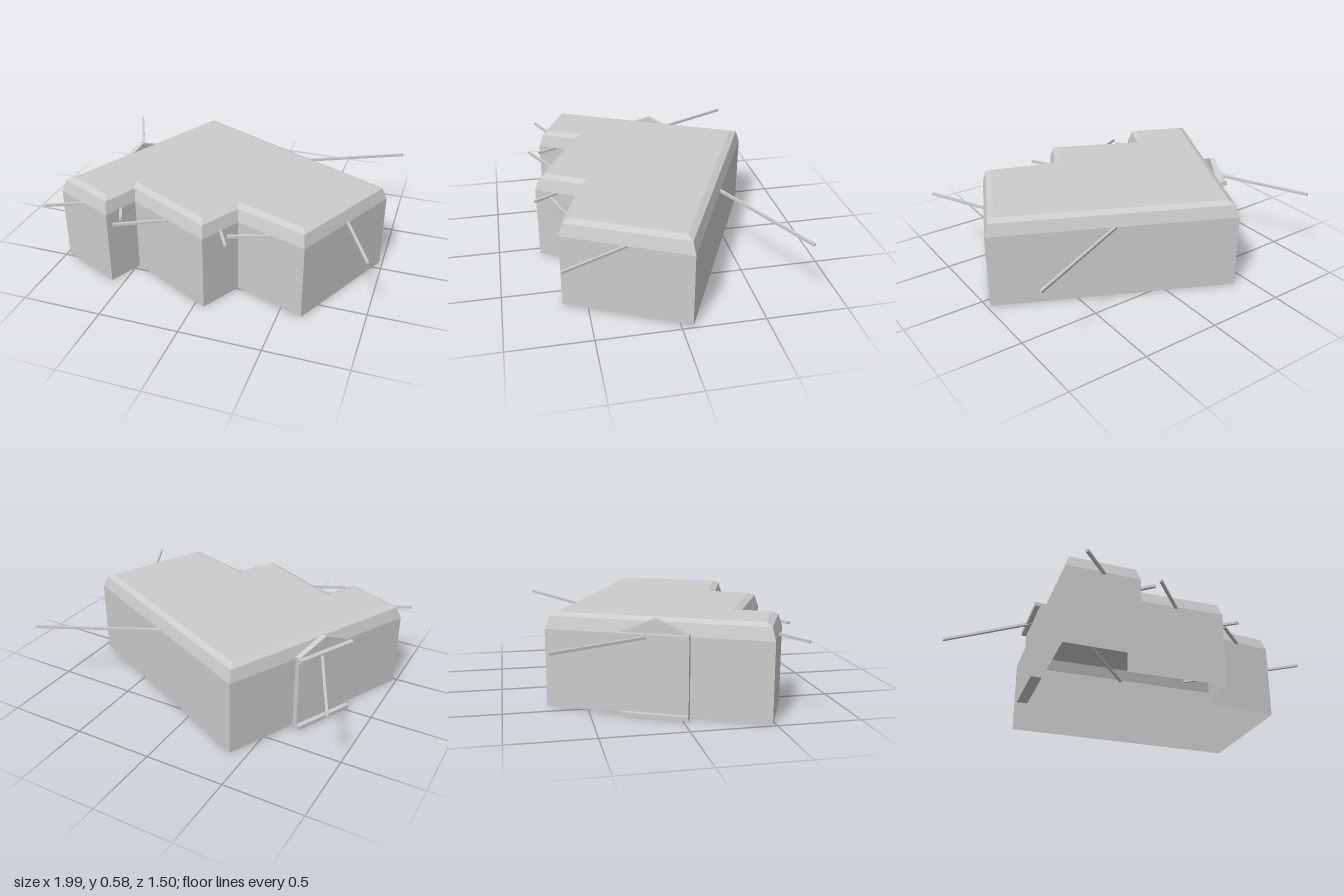
import * as THREE from 'three';

// Footprint corners [x, z], walked so that the inside is at (-dz, dx)
const corners = [
  [-0.4, -0.735], [0.98, -0.07], [0.635, 0.645], [0.195, 0.49],
  [0.06, 0.735], [-0.485, 0.46], [-0.58, 0.665], [-0.98, 0.48],
];
const count = corners.length;

// Unit direction, length and middle of the wall that starts at corner i
function wall(i) {
  const [ax, az] = corners[(i + count) % count];
  const [bx, bz] = corners[(i + 1) % count];
  const length = Math.hypot(bx - ax, bz - az);
  return { dx: (bx - ax) / length, dz: (bz - az) / length, length, x: (ax + bx) / 2, z: (az + bz) / 2 };
}

// Footprint moved inwards by d with mitred corners, at height y
function ring(d, y) {
  return corners.map(([x, z], i) => {
    const a = wall(i - 1), b = wall(i);
    const k = d / (1 + a.dx * b.dx + a.dz * b.dz);
    return [x - (a.dz + b.dz) * k, y, z + (a.dx + b.dx) * k];
  });
}

// Flat-faced band between two rings, facing outwards
function band(low, high) {
  const points = [];
  for (let i = 0; i < count; i++) {
    const j = (i + 1) % count;
    points.push(low[j], low[i], high[i], low[j], high[i], high[j]);
  }
  const geometry = new THREE.BufferGeometry();
  geometry.setAttribute('position', new THREE.Float32BufferAttribute(points.flat(), 3));
  geometry.computeVertexNormals();
  return geometry;
}

export function createModel() {
  const model = new THREE.Group();
  const grey = new THREE.MeshStandardMaterial({ color: 0xcccccc, side: THREE.DoubleSide, flatShading: true });
  grey.name = 'light grey';

  function add(parent, name, geometry, x = 0, y = 0, z = 0) {
    const mesh = new THREE.Mesh(geometry, grey);
    mesh.name = name;
    mesh.position.set(x, y, z);
    parent.add(mesh);
    return mesh;
  }

  // Building shell, open underneath
  const base = ring(0, 0), eaves = ring(0, 0.475), shoulder = ring(0.0225, 0.55), top = ring(0.06, 0.57);
  add(model, 'walls', band(base, eaves));
  add(model, 'lowerRoofSlope', band(eaves, shoulder));
  add(model, 'upperRoofSlope', band(shoulder, top));
  const roof = new THREE.ShapeGeometry(new THREE.Shape(top.map(([x, , z]) => new THREE.Vector2(x, -z))));
  add(model, 'flatRoof', roof.rotateX(-Math.PI / 2), 0, 0.57, 0);

  // One rail crossing the middle of each wall at the mirrored angle
  for (let i = 0; i < count; i++) {
    const w = wall(i);
    const rail = add(model, 'rail', new THREE.BoxGeometry(w.length + 0.03, 0.016, 0.016), w.x, 0.47, w.z);
    rail.rotation.y = Math.atan2(w.dz, w.dx);
  }

  // Gabled entrance in the middle of the last wall, local +z pointing outwards
  const w = wall(count - 1);
  const entrance = new THREE.Group();
  entrance.name = 'entrance';
  entrance.position.set(w.x, 0, w.z);
  entrance.rotation.y = Math.atan2(w.dz, -w.dx);
  model.add(entrance);
  const gable = new THREE.Shape([[-0.2, 0], [0.2, 0], [0.2, 0.49], [0, 0.577], [-0.2, 0.49]]
    .map(([x, y]) => new THREE.Vector2(x, y)));
  add(entrance, 'gabledPanel', new THREE.ExtrudeGeometry(gable, { depth: 0.035, bevelEnabled: false }));
  const bar = new THREE.BoxGeometry(0.405, 0.024, 0.03);
  add(entrance, 'doorstep', bar, 0, 0.012, 0.05);
  add(entrance, 'lintel', bar, 0, 0.478, 0.05);

  return model;
}
